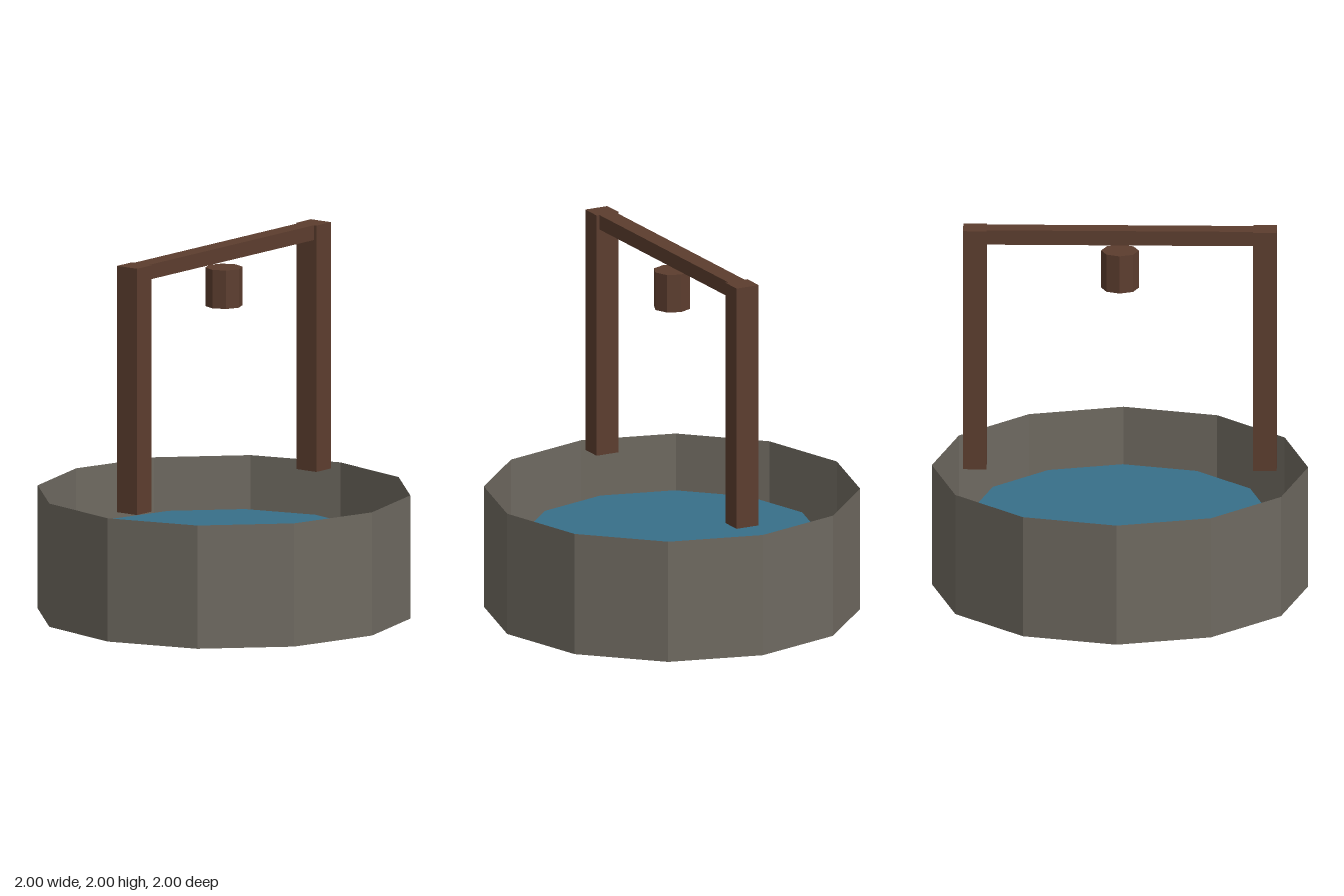
import * as THREE from 'three';

export function createModel() {
  const material = (name, color, extra = {}) => {
    const m = new THREE.MeshStandardMaterial({ color, flatShading: true, ...extra });
    m.name = name;
    return m;
  };
  const stone = material('stone', 0x6e6960, { side: THREE.DoubleSide });
  const wood = material('wood', 0x5c3d2e);
  const water = material('water', 0x386f89);

  const well = new THREE.Group();
  well.name = 'well';
  const add = (name, geometry, mat, x, y, z) => {
    const mesh = new THREE.Mesh(geometry, mat);
    mesh.name = name;
    mesh.position.set(x, y, z);
    well.add(mesh);
  };

  // Thin open stone ring, twelve sides
  const wallHeight = 0.667;
  add('wall', new THREE.CylinderGeometry(1, 1, wallHeight, 12, 1, true), stone, 0, wallHeight / 2, 0);

  // Solid body of water standing inside the ring
  const waterHeight = 0.415;
  add('water', new THREE.CylinderGeometry(0.79, 0.79, waterHeight, 12), water, 0, waterHeight / 2, 0);

  // Posts rising from rim height, joined by a slimmer beam
  const postHeight = 2 - wallHeight, postWidth = 0.125, postX = 0.771;
  for (const [name, side] of [['leftPost', 1], ['rightPost', -1]]) {
    add(name, new THREE.BoxGeometry(postWidth, postHeight, 0.134), wood,
      side * postX, wallHeight + postHeight / 2, 0);
  }
  add('beam', new THREE.BoxGeometry(2 * postX - postWidth, 0.08, 0.1), wood, 0, 1.96, 0);

  // Eight-sided bucket hanging below the beam
  add('bucket', new THREE.CylinderGeometry(0.1, 0.1, 0.208, 8), wood, 0, 1.771, 0);

  return well;
}
